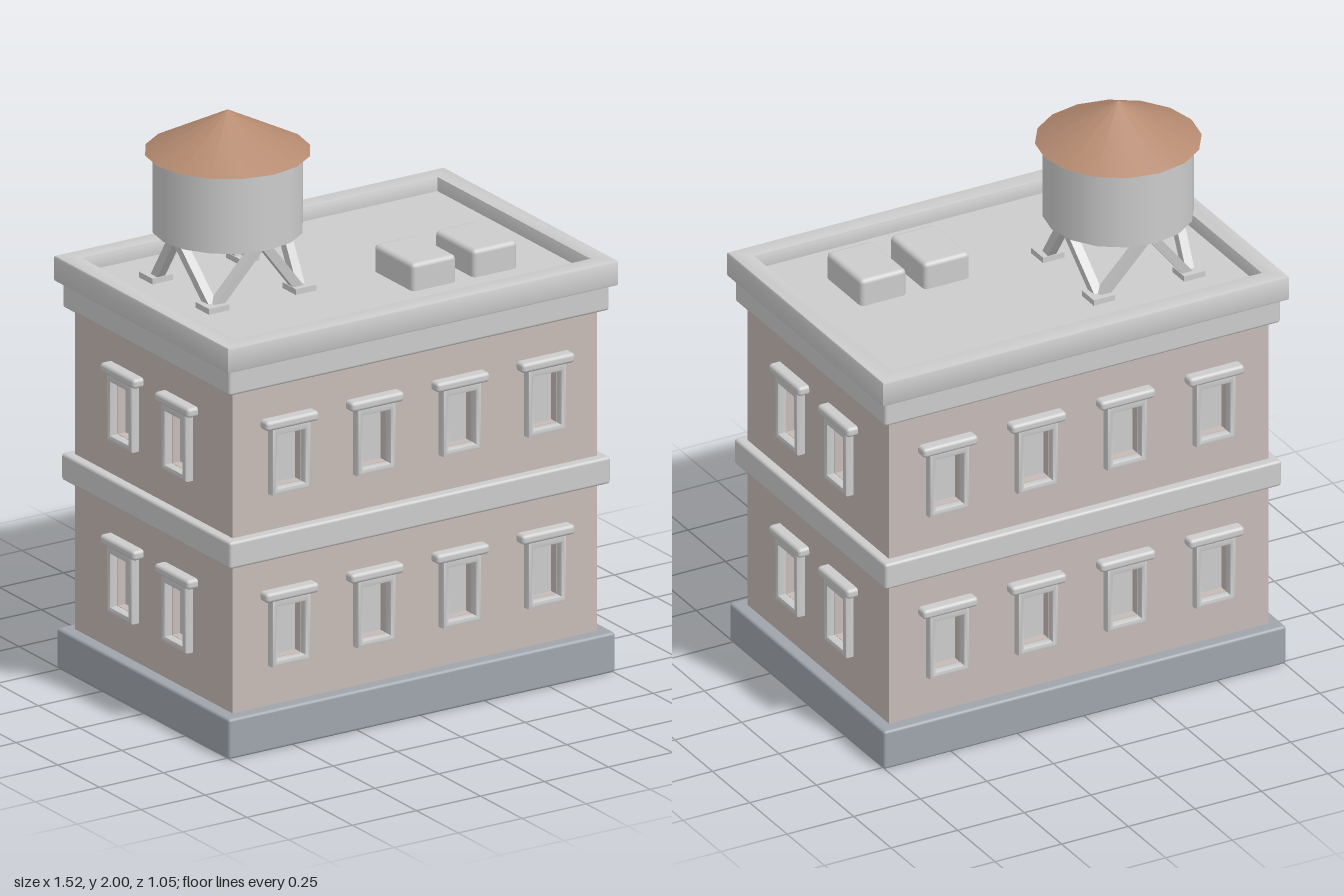
import * as THREE from 'three';
import { RoundedBoxGeometry } from 'three/addons/geometries/RoundedBoxGeometry.js';
import { toCreasedNormals } from 'three/addons/utils/BufferGeometryUtils.js';

const mat = (color) => new THREE.MeshStandardMaterial({ color });
const grey = mat(0xcccccc);
const brick = mat(0xc6bab6);
const stone = mat(0x9fa5ac);
const rust = mat(0xb58a70);

const HALF_W = 0.712, HALF_D = 0.473;      // wall planes
const WALL_BASE = 0.13, WALL_TOP = 1.36;
const RECESS = 0.03;
const FLOORS = [0.28, 0.88];               // bottom of each row of windows
const OPENING = { w: 0.104, h: 0.185, lift: 0.022 };
const ROOF = 1.39;

function add(parent, name, geometry, material, x = 0, y = 0, z = 0) {
  const mesh = new THREE.Mesh(geometry, material);
  mesh.name = name;
  mesh.position.set(x, y, z);
  parent.add(mesh);
  return mesh;
}

const block = (w, h, d, r = 0.01) => new RoundedBoxGeometry(w, h, d, 2, r);

// Rectangle outline, centred on x, rising from y
function rect(Type, w, h, x = 0, y = 0) {
  const p = new Type();
  p.moveTo(x - w / 2, y);
  p.lineTo(x + w / 2, y);
  p.lineTo(x + w / 2, y + h);
  p.lineTo(x - w / 2, y + h);
  p.closePath();
  return p;
}

function bevelled(shape, depth, bevel) {
  const g = new THREE.ExtrudeGeometry(shape, {
    depth: depth - 2 * bevel, bevelSize: bevel, bevelThickness: bevel,
    bevelOffset: -bevel, bevelSegments: 2,
  });
  g.translate(0, 0, bevel);
  return toCreasedNormals(g, 0.6);
}

// Frame and lintel around one opening, facing +z
const frameShape = rect(THREE.Shape, 0.15, 0.245);
frameShape.holes.push(rect(THREE.Path, OPENING.w, OPENING.h, 0, OPENING.lift));
const frameGeometry = bevelled(frameShape, 0.036, 0.008);
const lintelGeometry = block(0.206, 0.034, 0.05, 0.012);

function makeWindow() {
  const g = new THREE.Group();
  g.name = 'window';
  add(g, 'windowFrame', frameGeometry, grey, 0, 0, -0.005);
  add(g, 'lintel', lintelGeometry, grey, 0, 0.248, 0.015);
  return g;
}

// One facade with recessed openings, facing +z
function makeFacade(width, columns) {
  const g = new THREE.Group();
  const panel = rect(THREE.Shape, width, WALL_TOP - WALL_BASE, 0, WALL_BASE);
  for (const y of FLOORS) {
    for (const x of columns) {
      panel.holes.push(rect(THREE.Path, OPENING.w, OPENING.h, x, y + OPENING.lift));
      const w = makeWindow();
      w.position.set(x, y, 0);
      g.add(w);
    }
  }
  const geometry = new THREE.ExtrudeGeometry(panel, { depth: RECESS, bevelEnabled: false });
  add(g, 'wall', geometry, brick, 0, 0, -RECESS);
  return g;
}

function makeWaterTank() {
  const tank = new THREE.Group();
  tank.name = 'waterTank';
  add(tank, 'tankBody', new THREE.CylinderGeometry(0.25, 0.25, 0.275, 16), grey, 0, 1.724, 0);
  add(tank, 'tankRoof', new THREE.ConeGeometry(0.275, 0.143, 16), rust, 0, 1.9285, 0);

  // Four feet, each carrying two struts that meet under the tank
  const up = new THREE.Vector3(0, 1, 0);
  for (let i = 0; i < 4; i++) {
    const a = Math.PI / 4 + i * Math.PI / 2;
    const foot = new THREE.Vector3(Math.cos(a) * 0.24, ROOF, Math.sin(a) * 0.24);
    add(tank, 'footPad', new THREE.BoxGeometry(0.08, 0.024, 0.08), grey, foot.x, ROOF + 0.008, foot.z);
    for (const side of [-1, 1]) {
      const b = a + side * Math.PI / 4;
      const top = new THREE.Vector3(Math.cos(b) * 0.2, 1.6, Math.sin(b) * 0.2);
      const dir = top.clone().sub(foot);
      const strut = add(tank, 'strut', new THREE.BoxGeometry(0.032, dir.length(), 0.032), grey);
      strut.position.copy(foot).add(top).multiplyScalar(0.5);
      strut.quaternion.setFromUnitVectors(up, dir.normalize());
    }
  }
  return tank;
}

export function createModel() {
  const model = new THREE.Group();
  model.name = 'building';

  // Plinth and inner core, which shows as the window panes
  add(model, 'plinth', block(1.51, 0.14, 1.036), stone, 0, 0.07, 0);
  add(model, 'windowPanes',
    new THREE.BoxGeometry(2 * (HALF_W - RECESS), ROOF - 0.13, 2 * (HALF_D - RECESS)),
    grey, 0, (ROOF + 0.11) / 2, 0);

  // Facades on all four sides
  const long = [-0.5, -0.167, 0.167, 0.5], short = [-0.163, 0.163];
  for (let i = 0; i < 4; i++) {
    const isLong = i % 2 === 0;
    const facade = makeFacade(isLong ? 2 * HALF_W : 2 * (HALF_D - RECESS), isLong ? long : short);
    facade.name = ['frontFacade', 'leftFacade', 'backFacade', 'rightFacade'][i];
    const a = i * Math.PI / 2, d = isLong ? HALF_D : HALF_W;
    facade.rotation.y = a;
    facade.position.set(Math.sin(a) * d, 0, Math.cos(a) * d);
    model.add(facade);
  }

  // Horizontal bands
  add(model, 'middleBand', block(1.488, 0.094, 1.014), grey, 0, 0.705, 0);
  add(model, 'cornice', block(1.486, 0.1, 1.004), grey, 0, 1.312, 0);

  // Roof deck and parapet ring
  add(model, 'roofDeck', new THREE.BoxGeometry(1.42, 0.04, 0.94), grey, 0, ROOF - 0.02, 0);
  const ring = rect(THREE.Shape, 1.524, 1.046, 0, -0.523);
  ring.holes.push(rect(THREE.Path, 1.386, 0.91, 0, -0.455));
  const parapet = add(model, 'parapet', bevelled(ring, 0.09, 0.008), grey, 0, 1.35, 0);
  parapet.rotation.x = -Math.PI / 2;

  // Roof equipment
  for (const x of [0.195, 0.433])
    add(model, 'roofVent', block(0.172, 0.11, 0.236, 0.016), grey, x, 1.43, 0.175);
  const tank = makeWaterTank();
  tank.position.set(-0.358, 0, -0.1);
  model.add(tank);

  return model;
}
